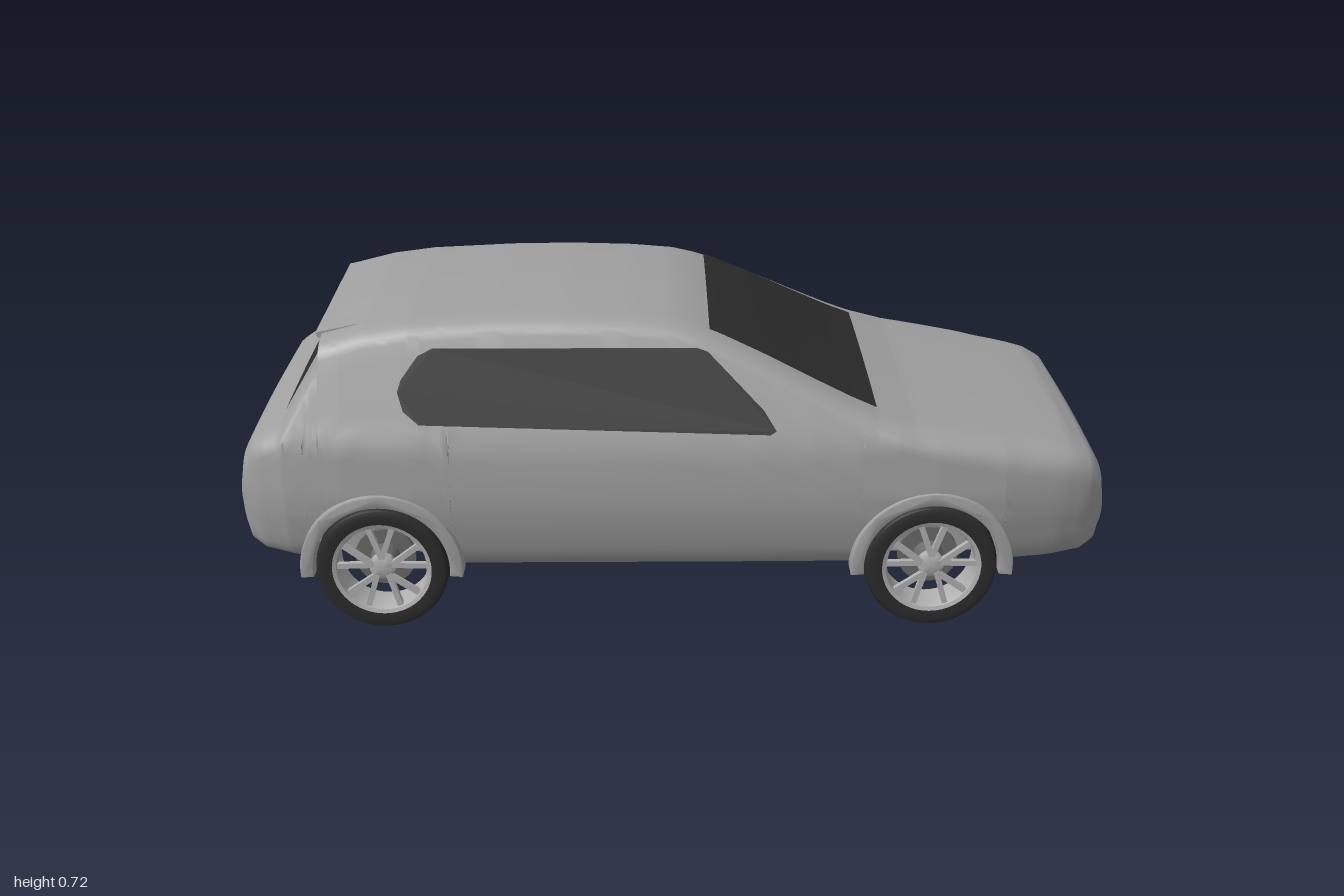
import * as THREE from 'three';
import { toCreasedNormals } from 'three/addons/utils/BufferGeometryUtils.js';

const mat = (name, color, side = THREE.FrontSide) => {
  const m = new THREE.MeshStandardMaterial({ color, side });
  m.name = name;
  return m;
};

// Piecewise-linear curve through [input, output] pairs
const curve = (pts) => (v) => {
  if (v <= pts[0][0]) return pts[0][1];
  for (let i = 1; i < pts.length; i++) {
    const [a, p] = pts[i - 1], [b, q] = pts[i];
    if (v <= b) return p + ((q - p) * (v - a)) / (b - a);
  }
  return pts[pts.length - 1][1];
};

// Body rules along the length: roof line, floor line, plan taper, shoulder radius
const ROOF = [[-1, 0.35], [-0.985, 0.41], [-0.96, 0.45], [-0.93, 0.47], [-0.89, 0.487], [-0.8, 0.635],
  [-0.797, 0.674], [-0.7, 0.7], [-0.6, 0.714], [-0.4, 0.725], [-0.25, 0.727], [-0.1, 0.722], [0, 0.712],
  [0.05, 0.699], [0.1, 0.681], [0.2, 0.635], [0.3, 0.585], [0.4, 0.537], [0.46, 0.512], [0.55, 0.487],
  [0.7, 0.462], [0.85, 0.437], [0.92, 0.423], [0.96, 0.402], [0.985, 0.365], [1, 0.3]];
const FLOOR = [[-1, 0.2], [-0.985, 0.17], [-0.95, 0.157], [-0.85, 0.148], [-0.5, 0.135], [0.85, 0.135],
  [0.95, 0.142], [0.985, 0.158], [1, 0.19]];
const TAPER = [[-1, 0.74], [-0.985, 0.81], [-0.95, 0.885], [-0.88, 0.95], [-0.75, 0.985], [-0.6, 1], [0.6, 1],
  [0.75, 0.98], [0.88, 0.925], [0.95, 0.87], [0.985, 0.81], [1, 0.75]];
const roof = curve(ROOF), floor = curve(FLOOR), taper = curve(TAPER);
const shoulder = curve([[-1, 0.06], [-0.8, 0.045], [0.46, 0.04], [0.8, 0.07], [1, 0.06]]);
// Half width by height
const width = curve([[0.135, 0.345], [0.145, 0.37], [0.165, 0.388], [0.2, 0.4], [0.27, 0.415], [0.33, 0.42],
  [0.455, 0.413], [0.475, 0.4], [0.7, 0.307], [0.73, 0.294]]);

const AXLES = [-0.67, 0.59], AXLE_Y = 0.155, ARCH = 0.165, WELL_Z = 0.3;

// Half cross-section, from floor centre out, up the side and over to the roof centre: [z, y]
function section(x) {
  const T = roof(x), B = floor(x), s = taper(x), r = shoulder(x);
  const side = (y) => s * width(y < 0.33 ? 0.135 + ((y - B) * 0.195) / (0.33 - B) : y);
  let low = B;
  for (const c of AXLES) {
    const d = ARCH * ARCH - (x - c) ** 2;
    if (d >= 0) low = AXLE_Y + Math.sqrt(d);
  }
  const out = [[0, B], [WELL_Z * s, B], [WELL_Z * s, low]];
  for (let i = 0; i <= 14; i++) {
    const y = low + (T - r - low) * (i / 14) ** 1.5;
    out.push([side(y), y]);
  }
  const p0 = [side(T - r), T - r], p1 = [side(T - 0.01), T - 0.008], p2 = [side(T) - r * 1.3, T - 0.006];
  for (let i = 1; i <= 8; i++) {
    const t = i / 8, u = 1 - t;
    out.push([0, 1].map((k) => u * u * p0[k] + 2 * u * t * p1[k] + t * t * p2[k]));
  }
  for (const t of [0.66, 0.33, 0]) out.push([p2[0] * t, T - 0.006 * t * t]);
  return out;
}

// Height of the upper skin at x, z
function skin(x, z) {
  const s = section(x).slice(3).reverse().map(([a, b]) => [a, b]);
  return curve(s)(Math.abs(z));
}

function bodyGeometry() {
  const xs = [...ROOF, ...FLOOR, ...TAPER].map((p) => p[0]);
  for (let i = 0; i <= 80; i++) xs.push(-1 + i / 40);
  for (const c of AXLES) {
    for (let i = 0; i <= 32; i++) xs.push(c - ARCH * Math.cos((i / 32) * Math.PI) * 0.99999);
    xs.push(c - ARCH - 0.0005, c + ARCH + 0.0005);
  }
  xs.sort((a, b) => a - b);
  const stations = xs.filter((x, i) => i === 0 || x - xs[i - 1] > 1e-4);
  const pos = [], idx = [];
  let M = 0;
  for (const x of stations) {
    const half = section(x);
    const ring = [...half, ...half.slice(0, -1).reverse().map(([z, y]) => [-z, y])];
    M = ring.length;
    for (const [z, y] of ring) pos.push(x, y, z);
  }
  const N = stations.length;
  for (let i = 0; i < N - 1; i++) {
    for (let j = 0; j < M - 1; j++) {
      const a = i * M + j;
      idx.push(a, a + M, a + 1, a + 1, a + M, a + M + 1);
    }
  }
  // Nose and tail caps
  pos.push(-1, 0.27, 0, 1, 0.25, 0);
  for (let j = 0; j < M - 1; j++) {
    const f = (N - 1) * M + j;
    idx.push(N * M, j, j + 1, N * M + 1, f + 1, f);
  }
  const g = new THREE.BufferGeometry();
  g.setAttribute('position', new THREE.Float32BufferAttribute(pos, 3));
  g.setIndex(idx);
  return toCreasedNormals(g, 0.65);
}

// Glass laid over the upper skin between two x positions
function glassGeometry(x0, x1, half0, half1, lift) {
  const g = new THREE.PlaneGeometry(1, 1, 24, 24);
  const p = g.attributes.position;
  for (let i = 0; i < p.count; i++) {
    const t = p.getY(i) + 0.5, x = x0 + (x1 - x0) * t;
    const z = 2 * p.getX(i) * (half0 + (half1 - half0) * t);
    p.setXYZ(i, x, skin(x, z) + lift, z);
  }
  g.computeVertexNormals();
  return g;
}

// Side glass leaning with the cabin wall
function sideGlassGeometry(sign) {
  const outline = [[-0.618, 0.57], [-0.605, 0.53], [-0.57, 0.502], [0.215, 0.479], [0.228, 0.487], [0.2, 0.53],
    [0.075, 0.652], [0.05, 0.66], [-0.54, 0.66], [-0.572, 0.645], [-0.61, 0.595]];
  const g = new THREE.ShapeGeometry(new THREE.Shape(outline.map(([x, y]) => new THREE.Vector2(x, y))));
  const p = g.attributes.position;
  for (let i = 0; i < p.count; i++) p.setZ(i, sign * (width(p.getY(i)) + 0.005));
  if (sign < 0) g.setIndex([...g.index.array].reverse());
  g.computeVertexNormals();
  return g;
}

const lathe = (pts, crease = 0.6) =>
  toCreasedNormals(new THREE.LatheGeometry(pts.map(([r, z]) => new THREE.Vector2(r, z)), 48).rotateX(Math.PI / 2), crease);

export function createModel() {
  const paint = mat('bodyPaint', 0xa0a0a0);
  const glass = mat('darkGlass', 0x2c2c2c, THREE.DoubleSide);
  const rubber = mat('tyreRubber', 0x2b2b2b);
  const alloy = mat('wheelAlloy', 0xb0b0b0, THREE.DoubleSide);
  const steel = mat('brakeSteel', 0x6a6a6a);
  const model = new THREE.Group();
  model.name = 'car';
  const add = (parent, name, geo, m) => {
    const mesh = new THREE.Mesh(geo, m);
    mesh.name = name;
    parent.add(mesh);
    return mesh;
  };

  add(model, 'body', bodyGeometry(), paint);
  add(model, 'windscreen', glassGeometry(0.08, 0.46, 0.275, 0.318, 0.004), glass);
  add(model, 'rearWindow', glassGeometry(-0.882, -0.805, 0.3, 0.25, 0.009), glass);
  add(model, 'leftSideWindow', sideGlassGeometry(1), glass);
  add(model, 'rightSideWindow', sideGlassGeometry(-1), glass);

  // Roof spoiler lip
  const lip = new THREE.Shape([[-0.72, 0.69], [-0.812, 0.67], [-0.81, 0.662], [-0.79, 0.645], [-0.74, 0.645]]
    .map(([x, y]) => new THREE.Vector2(x, y)));
  add(model, 'roofSpoiler', new THREE.ExtrudeGeometry(lip, { depth: 0.5, bevelEnabled: false }).translate(0, 0, -0.25), paint);

  // Wheel arch flare
  const flare = new THREE.Shape();
  flare.absarc(0, 0, 0.182, -0.08, Math.PI + 0.08, false);
  flare.absarc(0, 0, 0.16, Math.PI + 0.08, -0.08, true);
  const flareGeo = toCreasedNormals(new THREE.ExtrudeGeometry(flare, {
    depth: 0.05, curveSegments: 32, bevelSize: 0.004, bevelThickness: 0.004, bevelSegments: 2 }), 0.6);

  // Grooved tyre, open rim and brake disc
  const tread = [[0.112, -0.046], [0.135, -0.05], [0.147, -0.046], [0.151, -0.038]];
  for (const z of [-0.024, -0.008, 0.008, 0.024]) {
    tread.push([0.152, z - 0.003], [0.147, z - 0.002], [0.147, z + 0.002], [0.152, z + 0.003]);
  }
  tread.push([0.151, 0.038], [0.147, 0.046], [0.135, 0.05], [0.112, 0.046], [0.112, -0.046]);
  const tyreGeo = lathe(tread);
  const rimGeo = lathe([[0.114, -0.046], [0.105, -0.04], [0.1, 0.028], [0.105, 0.044], [0.114, 0.047]]);
  const hubGeo = lathe([[0, 0.018], [0.03, 0.018], [0.03, 0.034], [0.02, 0.039], [0, 0.039]]);
  const discGeo = lathe([[0, -0.03], [0.07, -0.03], [0.07, -0.018], [0.035, -0.018], [0.03, 0.018], [0, 0.018]]);
  const spokeGeo = new THREE.BoxGeometry(0.084, 0.013, 0.012);

  const wheel = (name) => {
    const g = new THREE.Group();
    g.name = name;
    add(g, 'tyre', tyreGeo, rubber);
    add(g, 'rim', rimGeo, alloy);
    add(g, 'hub', hubGeo, alloy);
    add(g, 'brakeDisc', discGeo, steel);
    for (let i = 0; i < 5; i++) {
      for (const s of [-1, 1]) {
        const a = Math.PI / 2 + (i * Math.PI * 2) / 5 + s * 0.22;
        const spoke = add(g, 'spoke', spokeGeo, alloy);
        spoke.position.set(Math.cos(a) * 0.064, Math.sin(a) * 0.064, 0.034);
        spoke.rotation.z = a + s * 0.12;
      }
    }
    return g;
  };

  for (const [i, x] of AXLES.entries()) {
    for (const s of [1, -1]) {
      const label = (s > 0 ? 'left' : 'right') + (i ? 'Front' : 'Rear');
      const w = wheel(label + 'Wheel');
      w.position.set(x, AXLE_Y, s * 0.375);
      if (s < 0) w.rotation.y = Math.PI;
      model.add(w);
      const f = add(model, label + 'ArchFlare', flareGeo, paint);
      f.position.set(x, AXLE_Y, s > 0 ? 0.373 : -0.423);
    }
  }
  return model;
}
